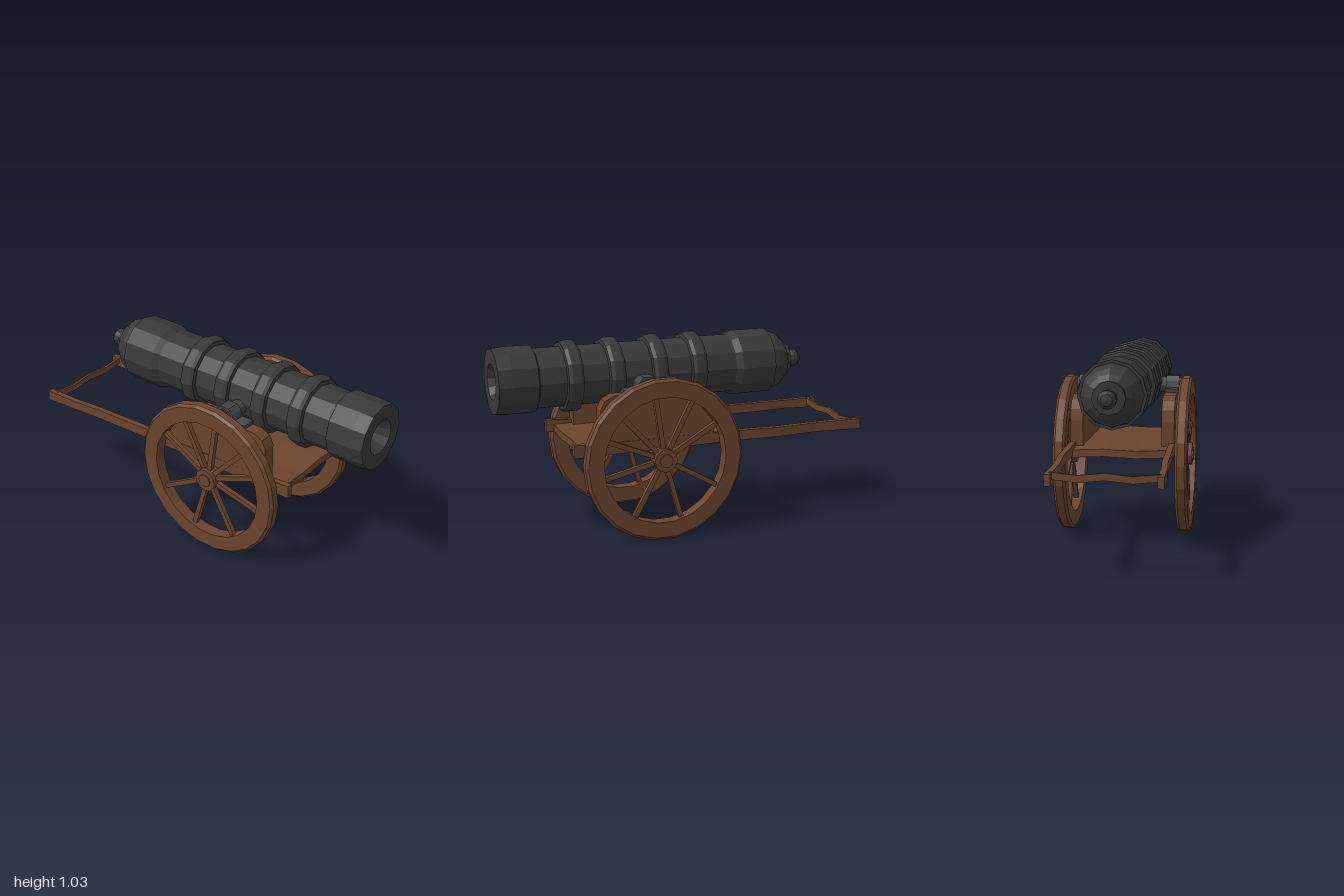
import * as THREE from 'three';

const mat = (name, color, extra = {}) => {
  const m = new THREE.MeshStandardMaterial({ color, flatShading: true, ...extra });
  m.name = name;
  return m;
};

export function createModel() {
  const wood = mat('wood', 0x6b452e);
  const iron = mat('dark iron', 0x383838);
  const fitting = mat('iron fittings', 0x454545);
  const root = new THREE.Group();
  root.name = 'fieldCannon';

  const add = (name, geo, material, x = 0, y = 0, z = 0, parent = root) => {
    const m = new THREE.Mesh(geo, material);
    m.name = name;
    m.position.set(x, y, z);
    parent.add(m);
    return m;
  };
  const V = (p) => p.map(([r, y]) => new THREE.Vector2(r, y));

  // shift the vertices of a geometry by a rule
  const bend = (geo, rule) => {
    const p = geo.attributes.position, v = new THREE.Vector3();
    for (let i = 0; i < p.count; i++) {
      v.fromBufferAttribute(p, i);
      rule(v);
      p.setXYZ(i, v.x, v.y, v.z);
    }
    geo.computeVertexNormals();
    return geo;
  };

  // barrel: rear knob, dome, breech, four bands, muzzle and conical bore
  const profile = [[0, -0.74], [0.03, -0.735], [0.047, -0.715], [0.047, -0.69], [0.038, -0.665], [0.045, -0.655],
    [0.085, -0.655], [0.085, -0.638], [0.115, -0.622], [0.142, -0.59], [0.157, -0.555], [0.162, -0.52],
    [0.178, -0.52], [0.179, -0.33], [0.16, -0.295]];
  for (const z of [-0.08, 0.14, 0.375, 0.6]) {
    profile.push([0.16, z - 0.043], [0.181, z - 0.04], [0.191, z - 0.022],
      [0.191, z + 0.022], [0.181, z + 0.04], [0.16, z + 0.043]);
  }
  profile.push([0.16, 0.785], [0.178, 0.795], [0.179, 0.93], [0.173, 1], [0.095, 1], [0, 0.82]);
  add('barrel', new THREE.LatheGeometry(V(profile), 12).rotateX(Math.PI / 2), iron, 0, 0.84, 0);

  // trunnion through the barrel
  add('trunnion', new THREE.CylinderGeometry(0.042, 0.042, 0.58, 12).rotateZ(Math.PI / 2), fitting, 0, 0.81, 0.25);

  // bearing cap outline: hump between two flat flanges
  const cap = new THREE.Shape();
  cap.moveTo(-0.13, 0.775).lineTo(0.13, 0.775).lineTo(0.13, 0.8).lineTo(0.06, 0.8);
  cap.lineTo(0.052, 0.835).lineTo(0.028, 0.862).lineTo(-0.028, 0.862).lineTo(-0.052, 0.835);
  cap.lineTo(-0.06, 0.8).lineTo(-0.13, 0.8);

  // cradle cheek outline, running along z with clipped upper corners
  const cheek = new THREE.Shape();
  cheek.moveTo(-0.11, 0.5).lineTo(0.51, 0.5).lineTo(0.51, 0.71).lineTo(0.488, 0.755).lineTo(0.44, 0.78);
  cheek.lineTo(0, 0.78).lineTo(-0.06, 0.755).lineTo(-0.1, 0.71).lineTo(-0.11, 0.65);

  // extrude a (z, y) outline along x, centred on zero
  const slab = (shape, t) => new THREE.ExtrudeGeometry(
    shape, { depth: t, bevelEnabled: false }).translate(0, 0, -t / 2).rotateY(-Math.PI / 2);

  // wheel parts
  const rim = new THREE.LatheGeometry(V([[0.335, -0.033], [0.418, -0.033], [0.432, -0.02], [0.432, 0.02],
    [0.418, 0.033], [0.335, 0.033], [0.335, -0.033]]), 22).rotateZ(-Math.PI / 2);
  const spokeAngles = [30, 63, 98, 133, 158, 193, 241, 286, 330];

  for (const s of [-1, 1]) {
    const side = s < 0 ? 'right' : 'left';
    add(side + 'Cheek', slab(cheek, 0.068), wood, s * 0.245);
    const c = add(side + 'TrunnionCap', slab(cap, 0.073), fitting, s * 0.244);
    c.position.z = 0.25;

    const wheel = new THREE.Group();
    wheel.name = side + 'Wheel';
    wheel.position.set(s * 0.3235, 0.432, 0.185);
    root.add(wheel);
    add('rim', rim, wood, 0, 0, 0, wheel);
    add('hub', new THREE.CylinderGeometry(0.062, 0.062, 0.07, 12).rotateZ(Math.PI / 2), wood, 0, 0, 0, wheel);
    add('hubCap', new THREE.CylinderGeometry(0.036, 0.036, 0.084, 10).rotateZ(Math.PI / 2), wood, 0, 0, 0, wheel);
    for (const a of spokeAngles) {
      const spoke = add('spoke', new THREE.BoxGeometry(0.026, 0.31, 0.026).translate(0, 0.19, 0), wood, 0, 0, 0, wheel);
      spoke.rotation.x = THREE.MathUtils.degToRad(a - 90);
    }
  }

  // axle
  add('axle', new THREE.CylinderGeometry(0.026, 0.026, 0.6, 8).rotateZ(Math.PI / 2), wood, 0, 0.438, 0.185);

  // bed plank with a slightly uneven face
  add('bed', bend(new THREE.BoxGeometry(0.51, 0.04, 0.86, 6, 1, 1), (v) => {
    v.y += 0.004 * Math.sin(v.x * 18);
  }), wood, 0, 0.496, 0.18);

  // long side rails, a little crooked: [z, x, y, height]
  const rail = (name, pts) => add(name, bend(new THREE.BoxGeometry(0.032, 1, 1, 1, 1, pts.length - 1), (v) => {
    const [z, x, y, h] = pts[Math.round((0.5 - v.z) * (pts.length - 1))];
    v.set(v.x + x, y + v.y * h, z);
  }), wood);
  rail('rightRail', [[0.655, -0.262, 0.513, 0.07], [0.5, -0.262, 0.508, 0.062], [-0.25, -0.268, 0.505, 0.055],
    [-0.65, -0.277, 0.501, 0.052], [-0.8, -0.288, 0.5, 0.05], [-1, -0.29, 0.495, 0.058]]);
  rail('leftRail', [[0.655, 0.273, 0.508, 0.07], [0.5, 0.27, 0.506, 0.062], [-0.25, 0.263, 0.505, 0.055],
    [-0.5, 0.265, 0.501, 0.052], [-0.72, 0.246, 0.5, 0.05], [-1, 0.245, 0.495, 0.058]]);

  // wavy handle bar between the rail ends
  add('handleBar', bend(new THREE.BoxGeometry(0.53, 0.036, 0.014, 8, 1, 1), (v) => {
    v.y += 0.007 * Math.cos(v.x * 24);
  }), wood, -0.022, 0.502, -0.95);

  return root;
}
